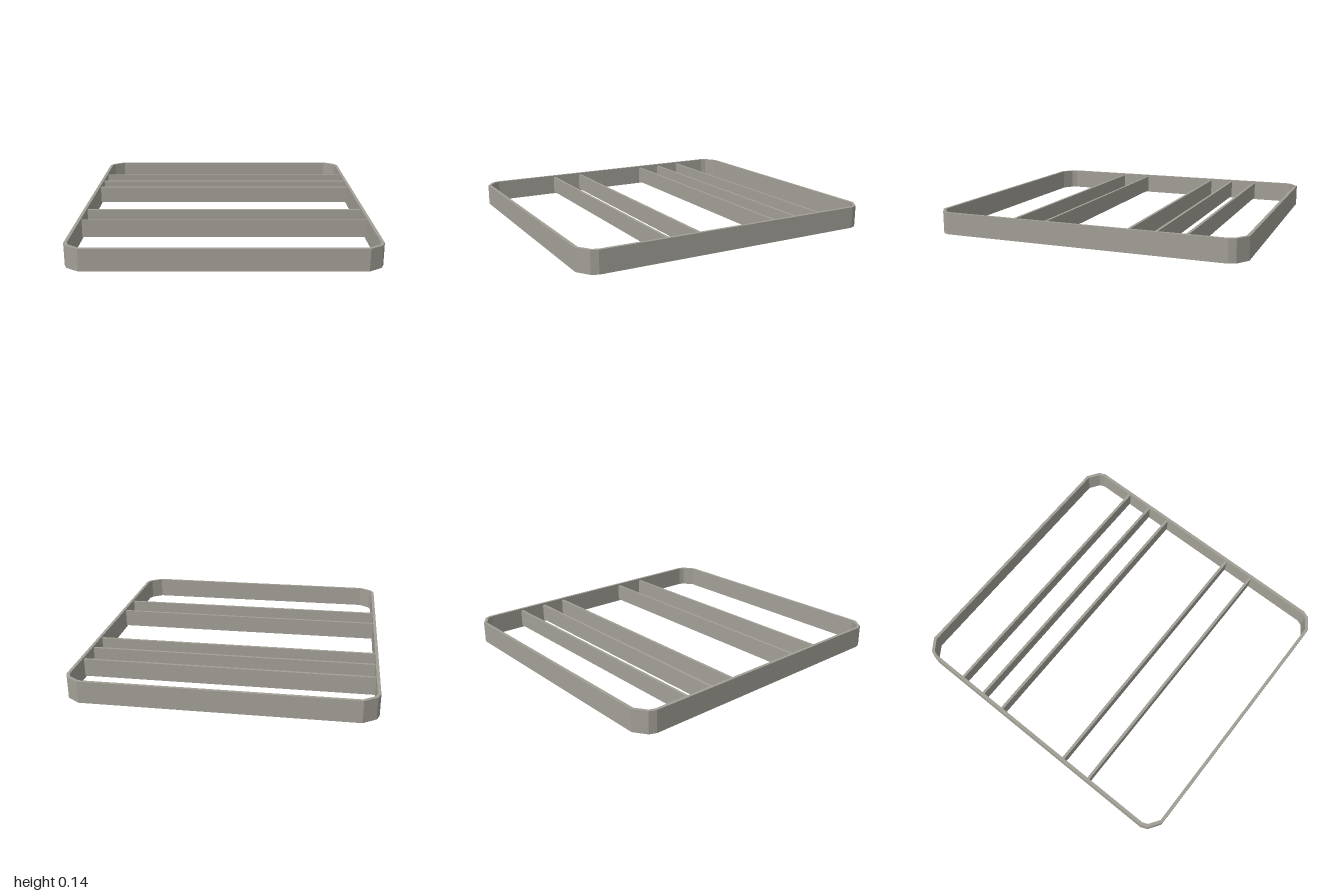
import * as THREE from 'three';

const HEIGHT = 0.14;
const SLAT_HEIGHT = 0.115;

// Mirrors one corner's points round all four corners, counter-clockwise.
function ringPoints(corner) {
  const back = [...corner].reverse();
  return [
    ...corner.map(([x, z]) => [x, z]),
    ...back.map(([x, z]) => [x, -z]),
    ...corner.map(([x, z]) => [-x, -z]),
    ...back.map(([x, z]) => [-x, z]),
  ].map(([x, z]) => new THREE.Vector2(x, z)).reverse();
}

export function createModel() {
  const model = new THREE.Group();
  model.name = 'slattedFrame';
  const metal = new THREE.MeshStandardMaterial({ color: 0xa29f96 });
  metal.name = 'warm grey metal';

  // Outer band with two-step chamfered corners
  const outline = new THREE.Shape(ringPoints([[0.836, 1], [0.916, 0.945], [0.934, 0.902]]));
  outline.holes.push(new THREE.Path(ringPoints([[0.83, 0.98], [0.9, 0.932], [0.914, 0.898]])));
  const bandGeometry = new THREE.ExtrudeGeometry(outline, { depth: HEIGHT, bevelEnabled: false });
  bandGeometry.rotateX(-Math.PI / 2);
  const band = new THREE.Mesh(bandGeometry, metal);
  band.name = 'outerBand';
  model.add(band);

  // Cross slats, unevenly spaced from back to front, a little lower than the band
  const slatGeometry = new THREE.BoxGeometry(1.828, SLAT_HEIGHT, 0.018);
  [-0.653, -0.468, -0.299, 0.241, 0.453].forEach((z, i) => {
    const slat = new THREE.Mesh(slatGeometry, metal);
    slat.name = `crossSlat${i + 1}`;
    slat.position.set(0, HEIGHT / 2, z);
    model.add(slat);
  });

  return model;
}
